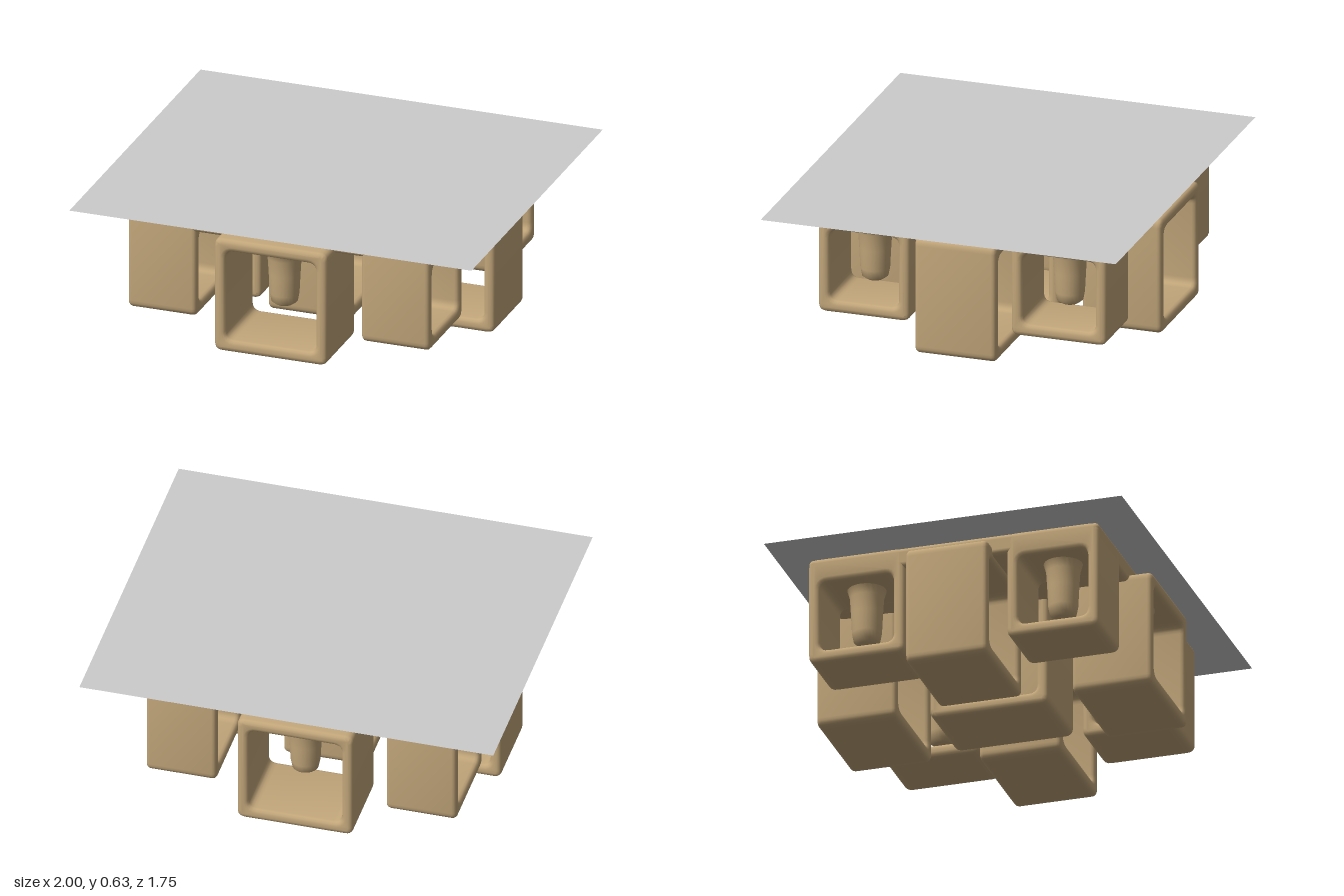
import * as THREE from 'three';
import { toCreasedNormals } from 'three/addons/utils/BufferGeometryUtils.js';
import { RoundedBoxGeometry } from 'three/addons/geometries/RoundedBoxGeometry.js';

const wood = new THREE.MeshStandardMaterial({ color: 0xc2a67a });
const grey = new THREE.MeshStandardMaterial({ color: 0xcccccc, side: THREE.DoubleSide });

// Trace a rounded rectangle on a shape or path
function roundedRect(path, x0, y0, x1, y1, r) {
  path.moveTo(x0 + r, y0);
  path.lineTo(x1 - r, y0);
  path.quadraticCurveTo(x1, y0, x1, y0 + r);
  path.lineTo(x1, y1 - r);
  path.quadraticCurveTo(x1, y1, x1 - r, y1);
  path.lineTo(x0 + r, y1);
  path.quadraticCurveTo(x0, y1, x0, y1 - r);
  path.lineTo(x0, y0 + r);
  path.quadraticCurveTo(x0, y0, x0 + r, y0);
  return path;
}

// Open-ended box shade with soft edges; its opening runs along z
function shadeGeometry(width, depth, y0, y1) {
  const h = width / 2, wall = 0.055, bevel = 0.022;
  const shape = roundedRect(new THREE.Shape(), -h, y0, h, y1, 0.04);
  shape.holes.push(roundedRect(new THREE.Path(), -h + wall, y0 + 0.06, h - wall, 0.52, 0.04));
  const geo = new THREE.ExtrudeGeometry(shape, {
    depth: depth - 2 * bevel, bevelEnabled: true, bevelThickness: bevel,
    bevelSize: bevel, bevelOffset: -bevel, bevelSegments: 3, curveSegments: 5,
  });
  geo.translate(0, 0, bevel - depth / 2);
  return toCreasedNormals(geo, 0.9);
}

// Tapered bulb with a flared root
function bulbGeometry(bottom) {
  const profile = [[0, 0], [0.04, 0.004], [0.062, 0.02], [0.07, 0.06], [0.075, 0.16],
    [0.08, 0.24], [0.095, 0.29], [0.125, 0.315], [0.125, 0.34]];
  return new THREE.LatheGeometry(profile.map(([r, y]) => new THREE.Vector2(r, bottom + y)), 24);
}

function lamp(name, x0, x1, z0, z1, y0, y1, opensAlongX) {
  const group = new THREE.Group();
  group.name = name;
  const w = x1 - x0, d = z1 - z0;
  const shade = new THREE.Mesh(
    opensAlongX ? shadeGeometry(d, w, y0, y1) : shadeGeometry(w, d, y0, y1), wood);
  shade.name = 'shade';
  if (opensAlongX) shade.rotation.y = Math.PI / 2;
  const bulb = new THREE.Mesh(bulbGeometry(y0 > 0.05 ? 0.24 : 0.21), wood);
  bulb.name = 'bulb';
  group.add(shade, bulb);
  group.position.set((x0 + x1) / 2, 0, (z0 + z1) / 2);
  return group;
}

export function createModel() {
  const model = new THREE.Group();
  model.name = 'ceilingLamp';

  // Ceiling panel
  const ceiling = new THREE.Mesh(new THREE.PlaneGeometry(2, 1.75), grey);
  ceiling.name = 'ceilingPanel';
  ceiling.rotation.x = -Math.PI / 2;
  ceiling.position.y = 0.645;
  model.add(ceiling);

  // Mounting plate that joins the lamps
  const plate = new THREE.Mesh(new RoundedBoxGeometry(1.5, 0.1, 1.42, 3, 0.025), wood);
  plate.name = 'mountingPlate';
  plate.position.set(-0.03, 0.59, -0.02);
  model.add(plate);

  // Corner lamps open sideways and hang higher
  for (const [side, x0, x1] of [['Right', -0.78, -0.44], ['Left', 0.38, 0.72]])
    for (const [end, z0, z1] of [['front', 0.24, 0.69], ['back', -0.73, -0.26]])
      model.add(lamp(`${end}${side}Lamp`, x0, x1, z0, z1, 0.11, 0.64, true));

  // Lamps in the middle of each edge open front to back
  model.add(lamp('frontLamp', -0.31, 0.25, 0.41, 0.8, 0.01, 0.58, false));
  model.add(lamp('backLamp', -0.31, 0.25, -0.84, -0.45, 0.01, 0.58, false));
  model.add(lamp('rightLamp', -0.86, -0.31, -0.23, 0.17, 0.01, 0.59, false));
  model.add(lamp('leftLamp', 0.27, 0.85, -0.23, 0.17, 0.01, 0.59, false));

  // Centre lamp opens sideways
  model.add(lamp('centreLamp', -0.24, 0.17, -0.31, 0.27, 0.01, 0.6, true));

  return model;
}
